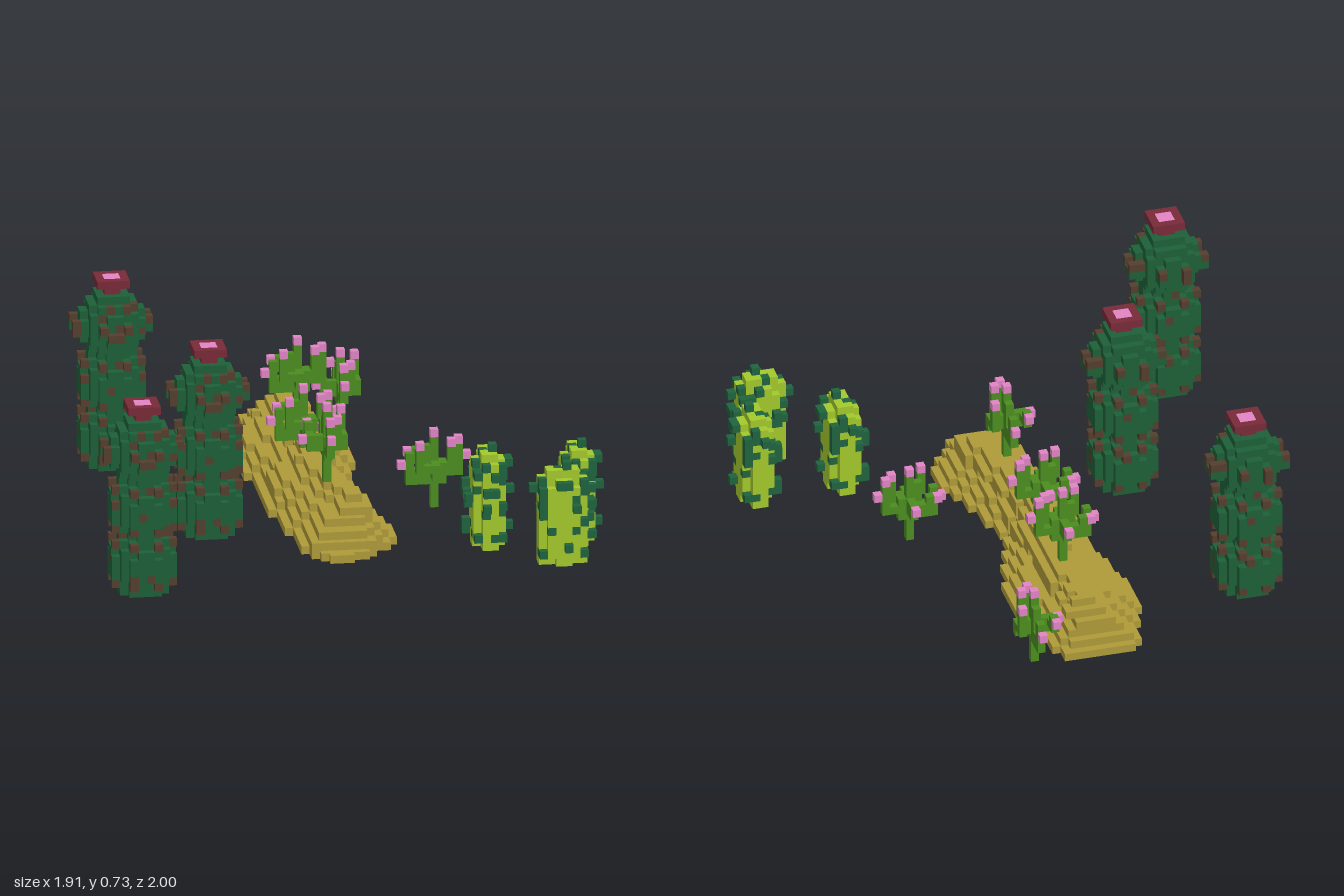
import * as THREE from 'three';

const V = 1 / 33; // edge of one cube
const COLORS = {
  darkGreen: 0x1d6038, thornBrown: 0x533f2d, flowerRed: 0x772a38, flowerPink: 0xe084c4,
  leafGreen: 0x4b8c20, limeGreen: 0xa2c82c, spineGreen: 0x1f633e, sand: 0xae9a39,
};
const MATS = {};
for (const [name, color] of Object.entries(COLORS)) {
  MATS[name] = new THREE.MeshStandardMaterial({ color });
  MATS[name].name = name;
}

// Repeatable pseudo-random value for a cell
function hash(x, y, z) {
  let h = Math.imul(x + 31, 73856093) ^ Math.imul(y + 17, 19349663) ^ Math.imul(z + 53, 83492791);
  h = Math.imul(h ^ (h >>> 15), 0x2c1b3c6d);
  h = Math.imul(h ^ (h >>> 12), 0x297a2d39);
  return ((h ^ (h >>> 15)) >>> 0) / 4294967296;
}

// A set of coloured cubes
class Cells {
  constructor() { this.map = new Map(); }
  set(x, y, z, c) { this.map.set(`${x},${y},${z}`, c); }
  get(x, y, z) { return this.map.get(`${x},${y},${z}`); }
  list() { return [...this.map].map(([k, c]) => [...k.split(',').map(Number), c]); }
  box(x0, x1, y0, y1, z0, z1, c) {
    for (let x = x0; x <= x1; x++) for (let y = y0; y <= y1; y++) for (let z = z0; z <= z1; z++) this.set(x, y, z, c);
  }
  turned() {
    const t = new Cells();
    for (const [x, y, z, c] of this.list()) t.set(z, y, x, c);
    return t;
  }
}

// Outer faces of the cubes, one mesh per colour
function build(name, cells, i, j, k) {
  const group = new THREE.Group();
  group.name = name;
  const faces = {};
  for (const [x, y, z, c] of cells.list()) {
    const out = (faces[c] ??= { pos: [], nor: [], idx: [] });
    for (let a = 0; a < 3; a++) for (const s of [1, -1]) {
      const n = [0, 0, 0];
      n[a] = s;
      if (cells.get(x + n[0], y + n[1], z + n[2])) continue;
      const b = out.pos.length / 3;
      for (const [u, w] of [[0, 0], [1, 0], [1, 1], [0, 1]]) {
        const p = [x, y, z];
        p[a] += s > 0 ? 1 : 0;
        p[(a + 1) % 3] += u;
        p[(a + 2) % 3] += w;
        out.pos.push(...p.map((q) => q * V));
        out.nor.push(...n);
      }
      out.idx.push(...(s > 0 ? [b, b + 1, b + 2, b, b + 2, b + 3] : [b, b + 2, b + 1, b, b + 3, b + 2]));
    }
  }
  for (const [c, f] of Object.entries(faces)) {
    const g = new THREE.BufferGeometry();
    g.setAttribute('position', new THREE.Float32BufferAttribute(f.pos, 3));
    g.setAttribute('normal', new THREE.Float32BufferAttribute(f.nor, 3));
    g.setIndex(f.idx);
    const mesh = new THREE.Mesh(g, MATS[c]);
    mesh.name = `${name} ${c}`;
    group.add(mesh);
  }
  group.position.set((i - 31.5) * V, j * V, (k - 33) * V);
  return group;
}

// Three stacked bulges with brown thorns and a flower on top
function tallCactus() {
  const c = new Cells();
  const radii = [3, 3.3, 4.1, 4.1, 4.1, 3.6, 3.3, 2.6, 3.3, 4.1, 4.1, 4.1, 3.6, 3.3, 2.6, 3.3, 3.6, 4.1, 4.1, 3.6, 3, 2.2];
  radii.forEach((r, y) => {
    for (let x = -4; x < 4; x++) for (let z = -4; z < 4; z++) {
      const d = Math.hypot(x + 0.5, z + 0.5);
      if (d > r) continue;
      c.set(x, y, z, d > r - 1 && hash(x, y, z) < 0.09 ? 'thornBrown' : 'darkGreen');
    }
  });
  // thorns standing off all four sides at one height
  const ring = (y, out, left, right, back, front, color) => {
    for (const t of left) c.set(-out - 1, y, t, color);
    for (const t of right) c.set(out, y, t, color);
    for (const t of back) c.set(t, y, -out - 1, color);
    for (const t of front) c.set(t, y, out, color);
  };
  ring(18, 4, [-2, 1], [-2, 0], [-2, 1], [-2, 1], 'thornBrown');
  ring(17, 4, [-2, 1], [-2, -1, 0], [-2, 1], [-1, 0], 'darkGreen');
  ring(17, 4, [1], [-1], [-2], [-1, 0], 'thornBrown');
  for (const y of [1, 6, 8, 13]) ring(y, 3, [-2, 1], [-2, 1], [-2, 1], [-2, 1], 'thornBrown');
  c.box(-1, 0, 22, 22, -1, 0, 'flowerRed');
  c.box(-2, 1, 23, 23, -2, 1, 'flowerRed');
  c.box(-1, 0, 23, 23, -1, 0, 'flowerPink');
  return c;
}

// Oval cactus with scattered dark spines
function limeCactus() {
  const c = new Cells();
  for (let y = 0; y < 12; y++) {
    const s = y === 11 ? 0.72 : y === 0 || y === 10 ? 0.9 : 1.06;
    for (let x = -2; x < 2; x++) for (let z = -3; z < 3; z++) {
      if (Math.hypot((x + 0.5) / 2, (z + 0.5) / 3) <= s) c.set(x, y, z, 'limeGreen');
    }
  }
  const body = new Set(c.map.keys());
  for (const [x, y, z] of c.list()) {
    if (y < 1 || y > 10) continue;
    for (const [dx, dz] of [[1, 0], [-1, 0], [0, 1], [0, -1]]) {
      if (body.has(`${x + dx},${y},${z + dz}`)) continue;
      const h = hash(x * 3 + dx, y, z * 3 + dz);
      if (h < 0.14) c.set(x + dx, y, z + dz, 'spineGreen');
      else if (h < 0.2) c.set(x, y, z, 'spineGreen');
    }
  }
  c.set(0, 12, 0, 'spineGreen');
  c.set(-1, 11, -1, 'spineGreen');
  return c;
}

// Branching plant with pink buds on the tips
function flowerPlant() {
  const c = new Cells();
  const g = 'leafGreen';
  c.box(0, 0, 0, 8, 0, 0, g);
  c.box(-1, 1, 3, 5, 0, 0, g);
  c.box(0, 0, 4, 5, -2, 1, g);
  c.box(0, 0, 4, 4, 2, 2, g);
  // long arms
  c.box(1, 3, 4, 4, 0, 0, g);
  c.box(3, 3, 4, 7, 0, 0, g);
  c.box(-3, -1, 3, 4, 0, 0, g);
  c.box(-3, -3, 4, 6, 0, 0, g);
  // side tines
  c.box(-2, 0, 5, 5, 2, 2, g);
  c.box(-2, -2, 5, 7, 2, 2, g);
  c.box(-2, 0, 5, 5, -2, -2, g);
  c.box(-2, -2, 5, 6, -2, -2, g);
  c.box(1, 2, 5, 5, 1, 1, g);
  c.box(2, 2, 5, 7, 1, 1, g);
  c.box(-1, -1, 5, 7, 0, 0, g);
  // buds
  for (const [x, y, z] of [[0, 9, 0], [3, 8, 0], [4, 6, 0], [-4, 5, 0], [-2, 8, 2], [-3, 6, -2], [0, 5, -3], [2, 8, 1]]) {
    c.set(x, y, z, 'flowerPink');
  }
  return c;
}

// Long winding dune in six terraces; outline given as [row, edge] steps
function dune() {
  const c = new Cells();
  const left = [[3, 25], [4, 24], [8, 23], [11, 22], [18, 23], [23, 24], [37, 25], [44, 26], [51, 27], [53, 28], [54, 29]];
  const right = [[3, 34], [5, 35], [9, 36], [13, 37], [21, 36], [25, 35], [28, 34], [31, 33], [32, 34], [35, 35], [39, 36], [42, 37], [44, 38], [49, 37], [51, 35], [53, 34], [54, 32]];
  const edge = (steps, k) => steps.filter((s) => s[0] <= k).pop()[1];
  [0, 0.18, 0.4, 0.7, 0.87, 1].forEach((f, y) => {
    const k0 = 3 + Math.round(y * 0.8), k1 = 54 - Math.round(y * 1.5);
    const shift = y > 3 ? 1 : 0;
    for (let k = k0; k <= k1; k++) {
      const l = edge(left, k), r = edge(right, k);
      const inset = Math.max(0, Math.round(f * ((r - l) / 2 - 1.5)));
      c.box(l + inset + shift, r - 1 - inset + shift, y, y, k, k, 'sand');
    }
  });
  return c;
}

export function createModel() {
  const model = new THREE.Group();
  model.name = 'desertCacti';
  model.add(build('dune', dune(), 0, 0, 0));

  const tall = tallCactus();
  for (const [i, k] of [[5, 61], [8, 14], [16, 41]]) model.add(build('tallCactus', tall, i, 0, k));

  const lime = limeCactus();
  for (const [i, k, turn] of [[49, 50, 0], [60, 50, 0], [57, 58, 1]]) {
    model.add(build('limeCactus', turn ? lime.turned() : lime, i, 0, k));
  }

  const plant = flowerPlant();
  for (const [i, j, k, turn] of [[37, 0, 4, 1], [30, 6, 16, 0], [29, 4, 28, 0], [30, 6, 41, 1], [44, 0, 35, 0]]) {
    model.add(build('flowerPlant', turn ? plant.turned() : plant, i, j, k));
  }
  return model;
}
